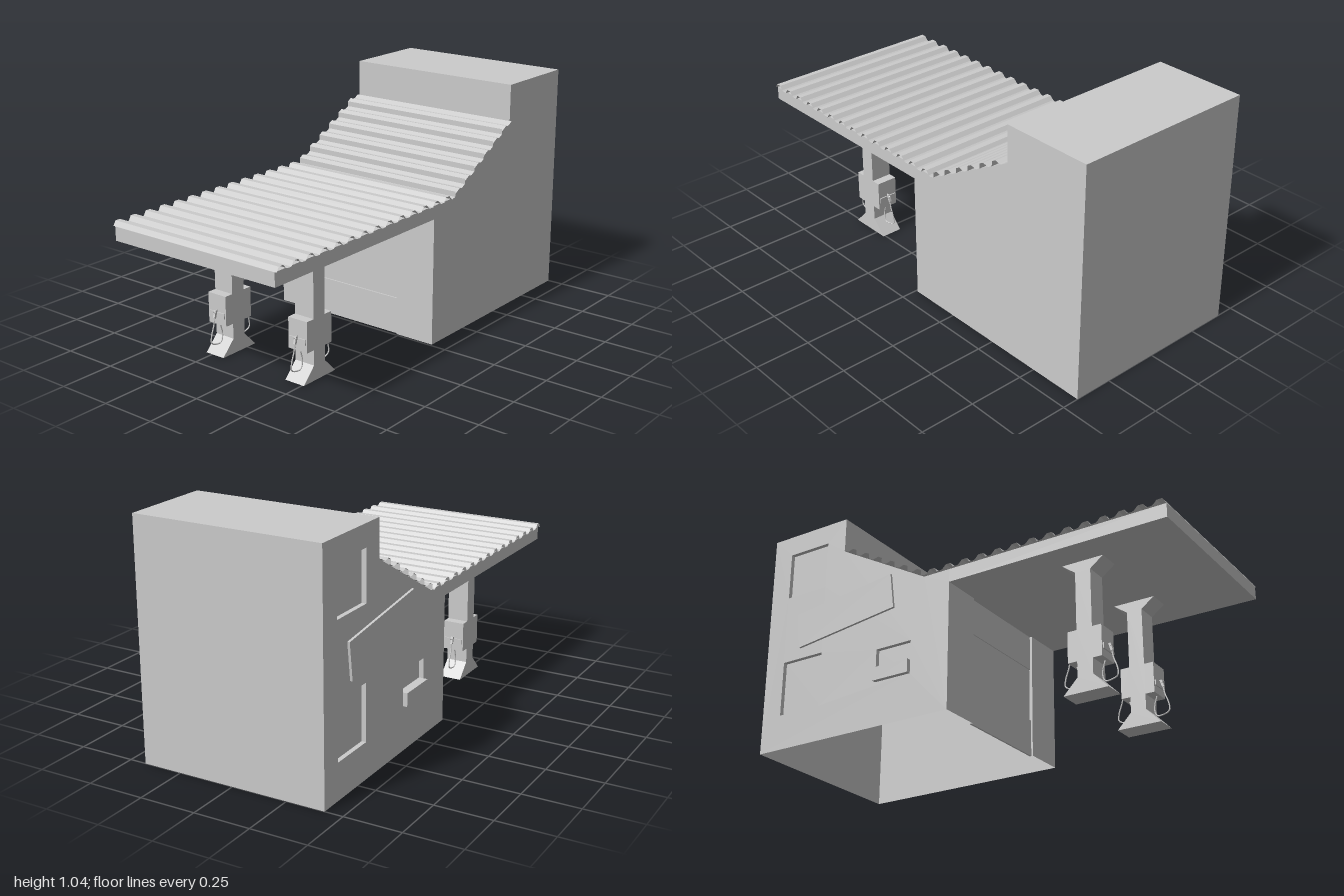
import * as THREE from 'three';

const mat = new THREE.MeshStandardMaterial({ color: 0xcccccc, flatShading: true, side: THREE.DoubleSide });
const X0 = -0.42, X1 = 0.425;

function add(parent, name, geo, x = 0, y = 0, z = 0) {
  const m = new THREE.Mesh(geo, mat);
  m.name = name;
  m.position.set(x, y, z);
  parent.add(m);
  return m;
}

// Sheet running along x through a [z, y] profile
function sheet(profile, x0, x1) {
  const p = [];
  for (let i = 0; i < profile.length - 1; i++) {
    const [za, ya] = profile[i], [zb, yb] = profile[i + 1];
    p.push(x0, ya, za, x1, ya, za, x1, yb, zb, x0, ya, za, x1, yb, zb, x0, yb, zb);
  }
  const g = new THREE.BufferGeometry();
  g.setAttribute('position', new THREE.Float32BufferAttribute(p, 3));
  g.computeVertexNormals();
  return g;
}

// Box with some faces left out (0 +x, 1 -x, 2 +y, 3 -y, 4 +z, 5 -z)
function openBox(w, h, d, dropped) {
  const g = new THREE.BoxGeometry(w, h, d);
  g.setIndex(Array.from(g.index.array).filter((_, i) => !dropped.includes(Math.floor(i / 6))));
  g.clearGroups();
  return g;
}

const shapeOf = pts => new THREE.Shape(pts.map(([a, b]) => new THREE.Vector2(a, b)));

// Turns a (z, y) drawing so that it stands in the side plane
const toSide = g => g.rotateY(-Math.PI / 2);

function createBuilding() {
  const g = new THREE.Group();
  g.name = 'building';
  const outline = [[-0.01, 0], [-0.01, 0.57], [-0.01, 0.63], [-0.14, 0.63], [-0.585, 0.88],
    [-0.585, 1.045], [-1, 1.045], [-1, 0]];

  // Shell is open underneath
  add(g, 'roofAndBackWall', sheet(outline.slice(2), X0, X1));
  add(g, 'leftWall', toSide(new THREE.ShapeGeometry(shapeOf(outline))), X1);

  // Right wall with recessed windows [z0, z1, y0, y1]
  const openings = [[-0.9, -0.685, 0.73, 0.95], [-0.9, -0.685, 0.16, 0.41], [-0.38, -0.2, 0.2, 0.35]];
  const wall = shapeOf(outline);
  for (const [a, b, c, d] of openings) {
    wall.holes.push(new THREE.Path([[a, c], [a, d], [b, d], [b, c]].map(q => new THREE.Vector2(...q))));
    add(g, 'windowRecess', openBox(0.02, d - c, b - a, [1]), X0 + 0.01, (c + d) / 2, (a + b) / 2);
  }
  add(g, 'rightWall', toSide(new THREE.ShapeGeometry(wall)), X0);
  add(g, 'windowTray', new THREE.BoxGeometry(0.04, 0.06, 0.18), -0.42, 0.23, -0.29);

  // Tilted board on the right wall
  const board = add(g, 'sideBoard', new THREE.BoxGeometry(0.012, 0.165, 0.52), -0.425, 0.573, -0.56);
  board.rotation.x = -0.125;

  // Front wall piers and the recessed door
  add(g, 'rightPier', sheet([[-0.01, 0], [-0.01, 0.57]], X0, -0.235));
  add(g, 'leftPier', sheet([[-0.01, 0], [-0.01, 0.57]], 0.235, X1));
  add(g, 'doorRecess', openBox(0.47, 0.57, 0.015, [3, 4]), 0, 0.285, -0.0175);
  add(g, 'doorLowerPanel', new THREE.BoxGeometry(0.47, 0.165, 0.008), 0, 0.0825, -0.022);
  add(g, 'doorUpperPanel', new THREE.BoxGeometry(0.47, 0.16, 0.004), 0, 0.49, -0.023);
  return g;
}

// Corrugated sheet following the flat canopy, then the slope
function createCorrugation() {
  const path = [[1, 0.63], [-0.14, 0.63], [-0.585, 0.88]];
  const flat = 1.14, slope = Math.hypot(0.445, 0.25);
  const cs = 0.445 / slope, sn = 0.25 / slope;
  const at = (s, h) => s <= flat
    ? [path[0][0] - s, 0.631 + h]
    : [path[1][0] - (s - flat) * cs + h * sn, 0.631 + (s - flat) * sn + h * cs];
  const wave = [[0, 0], [0.012, 0.02], [0.036, 0.02], [0.052, 0.004], [0.06, 0]];
  const pitch = 0.0822, pts = [];
  for (let s = 0; s < flat + slope; s += pitch) {
    for (const [ds, h] of wave) if (s + ds <= flat + slope) pts.push(at(s + ds, h));
  }
  pts.push(at(flat + slope, 0));
  return sheet(pts, -0.43, 0.435);
}

// Fuelling column with a hose on the front and the back
function createColumn(x) {
  const g = new THREE.Group();
  g.name = 'pumpColumn';
  g.position.set(x, 0, 0.55);
  const half = [[0.1, 0], [0.035, 0.067], [0.035, 0.135], [0.077, 0.135], [0.077, 0.27],
    [0.035, 0.27], [0.035, 0.525], [0.095, 0.57]];
  const profile = [...half, ...half.map(([z, y]) => [-z, y]).reverse()];
  const geo = new THREE.ExtrudeGeometry(shapeOf(profile), { depth: 0.098, bevelEnabled: false });
  add(g, 'columnBody', toSide(geo), 0.049);

  const loop = [[0.08, 0.19], [0.062, 0.13], [0.05, 0.08], [0.06, 0.048], [0.085, 0.047],
    [0.117, 0.06], [0.117, 0.09], [0.1, 0.14], [0.093, 0.18]];
  const curve = new THREE.CatmullRomCurve3(loop.map(([z, y]) => new THREE.Vector3(0, y, z)));
  for (const turn of [0, Math.PI]) {
    const side = new THREE.Group();
    side.name = 'hoseSet';
    side.rotation.y = turn;
    add(side, 'hose', new THREE.TubeGeometry(curve, 28, 0.003, 6));
    add(side, 'nozzleHolder', new THREE.BoxGeometry(0.084, 0.024, 0.008), 0, 0.18, 0.078);
    const nozzle = add(side, 'nozzle', new THREE.BoxGeometry(0.01, 0.034, 0.01), 0, 0.185, 0.091);
    nozzle.rotation.x = -0.3;
    const spout = add(side, 'spout', new THREE.ConeGeometry(0.008, 0.025, 6), 0, 0.197, 0.084);
    spout.rotation.x = -0.9;
    g.add(side);
  }
  return g;
}

export function createModel() {
  const model = new THREE.Group();
  model.name = 'fuelStation';
  model.add(createBuilding());
  add(model, 'canopySlab', new THREE.BoxGeometry(X1 - X0, 0.06, 1.01), (X0 + X1) / 2, 0.6, 0.495);
  add(model, 'corrugatedRoof', createCorrugation());
  for (const x of [-0.234, 0.21]) model.add(createColumn(x));
  return model;
}
